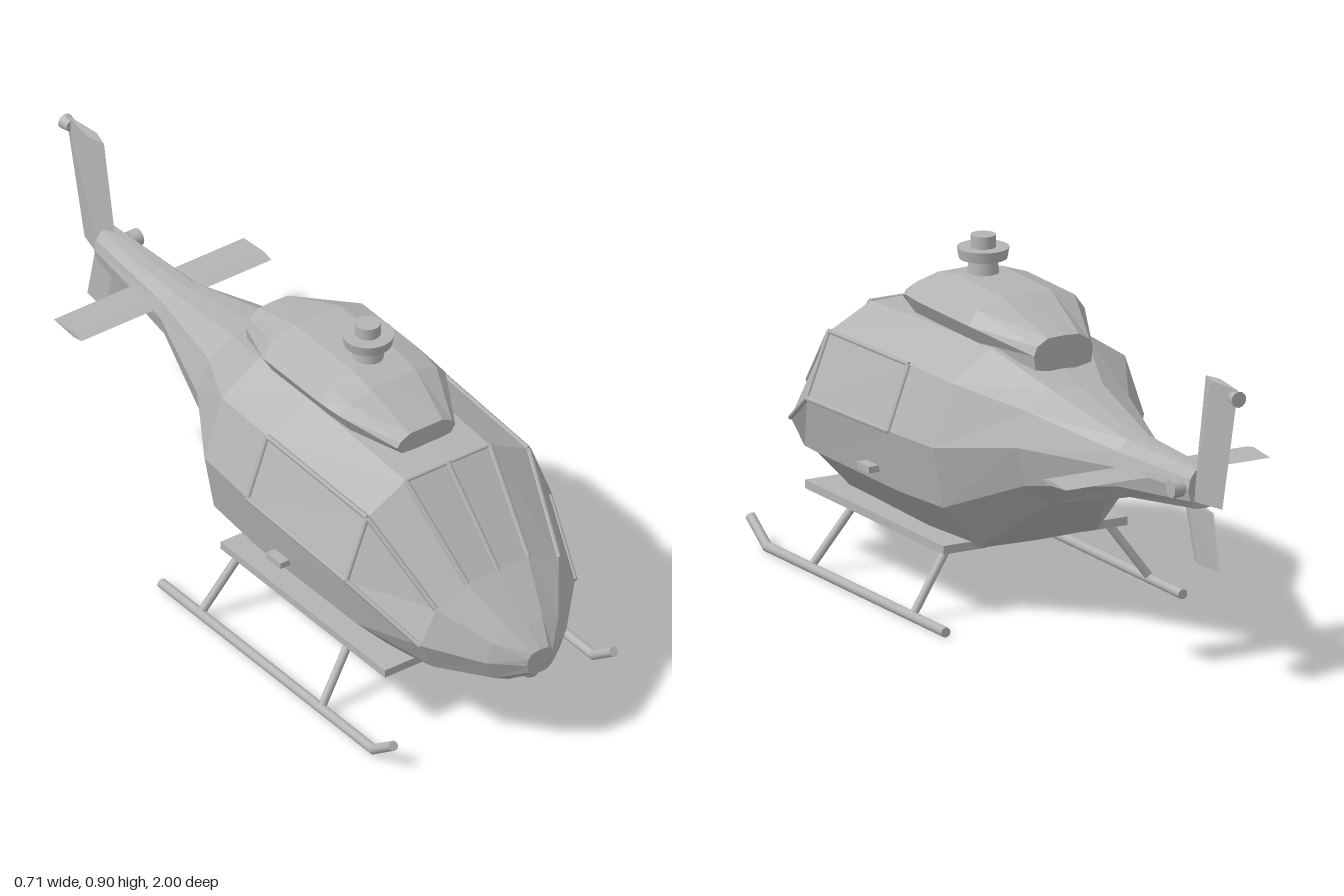
import * as THREE from 'three';

const grey = new THREE.MeshStandardMaterial({ color: 0xb4b4b4 });
grey.name = 'painted grey';

const V = (x, y, z) => new THREE.Vector3(x, y, z);

// Faceted skin over rings of points (each ring clockwise seen from the first end), capped at both ends
function loft(rings) {
  const pos = [];
  const tri = (...pts) => pts.forEach((p) => pos.push(p.x, p.y, p.z));
  const n = rings[0].length;
  const cap = (ring, flip) => {
    const c = ring.reduce((s, p) => s.add(p), V(0, 0, 0)).divideScalar(n);
    for (let k = 0; k < n; k++) {
      const a = ring[k], b = ring[(k + 1) % n];
      flip ? tri(c, b, a) : tri(c, a, b);
    }
  };
  for (let i = 0; i < rings.length - 1; i++) {
    for (let k = 0; k < n; k++) {
      const m = (k + 1) % n;
      const a = rings[i][k], b = rings[i][m], c = rings[i + 1][k], d = rings[i + 1][m];
      tri(a, b, c);
      tri(b, d, c);
    }
  }
  cap(rings[0], true);
  cap(rings[rings.length - 1], false);
  const geo = new THREE.BufferGeometry();
  geo.setAttribute('position', new THREE.Float32BufferAttribute(pos, 3));
  geo.computeVertexNormals();
  return geo;
}

// Full ring from a half outline running from top centre to bottom centre
function mirrorRing(z, half) {
  const right = half.map(([x, y]) => V(x, y, z));
  const left = half.slice(1, -1).reverse().map(([x, y]) => V(-x, y, z));
  return [...right, ...left];
}

export function createModel() {
  const model = new THREE.Group();
  const add = (name, geo, x = 0, y = 0, z = 0) => {
    const mesh = new THREE.Mesh(geo, grey);
    mesh.name = name;
    mesh.position.set(x, y, z);
    model.add(mesh);
    return mesh;
  };
  // Round bar between two points
  const rod = (name, a, b, r, sides = 8) => {
    const dir = b.clone().sub(a);
    const mesh = add(name, new THREE.CylinderGeometry(r, r, dir.length(), sides));
    mesh.position.copy(a).add(b).multiplyScalar(0.5);
    mesh.quaternion.setFromUnitVectors(V(0, 1, 0), dir.normalize());
    return mesh;
  };

  // Fuselage: top, roof edge, shoulder, waist, chine, belly edge, belly
  const body = [
    [1.0, [[0, 0.312], [0.025, 0.308], [0.038, 0.295], [0.042, 0.278], [0.035, 0.255], [0.02, 0.245], [0, 0.243]]],
    [0.94, [[0, 0.36], [0.05, 0.358], [0.1, 0.335], [0.125, 0.287], [0.1, 0.232], [0.055, 0.21], [0, 0.207]]],
    [0.82, [[0, 0.452], [0.095, 0.45], [0.19, 0.41], [0.24, 0.32], [0.2, 0.24], [0.11, 0.193], [0, 0.187]]],
    [0.61, [[0, 0.662], [0.13, 0.66], [0.25, 0.598], [0.315, 0.432], [0.283, 0.287], [0.17, 0.167], [0, 0.165]]],
    [0.2, [[0, 0.69], [0.135, 0.685], [0.257, 0.615], [0.318, 0.45], [0.288, 0.29], [0.18, 0.163], [0, 0.163]]],
    [0, [[0, 0.695], [0.135, 0.69], [0.25, 0.615], [0.305, 0.455], [0.275, 0.295], [0.17, 0.175], [0, 0.172]]],
    [-0.2, [[0, 0.622], [0.07, 0.617], [0.145, 0.575], [0.18, 0.487], [0.155, 0.385], [0.085, 0.325], [0, 0.318]]],
    [-0.5, [[0, 0.566], [0.033, 0.563], [0.06, 0.535], [0.072, 0.497], [0.06, 0.445], [0.035, 0.415], [0, 0.411]]],
    [-0.82, [[0, 0.563], [0.02, 0.561], [0.036, 0.54], [0.042, 0.513], [0.036, 0.482], [0.02, 0.461], [0, 0.458]]],
  ];
  add('fuselage', loft(body.map(([z, half]) => mirrorRing(z, half))));

  // Engine housing on the roof
  const housing = [
    [0.52, [[0, 0.72], [0.05, 0.72], [0.08, 0.705], [0.09, 0.69], [0.075, 0.67], [0, 0.665]]],
    [0.38, [[0, 0.785], [0.07, 0.784], [0.135, 0.765], [0.163, 0.738], [0.135, 0.688], [0, 0.67]]],
    [0.3, [[0, 0.8], [0.07, 0.799], [0.14, 0.775], [0.168, 0.737], [0.14, 0.69], [0, 0.67]]],
    [0.06, [[0, 0.8], [0.07, 0.799], [0.14, 0.775], [0.168, 0.737], [0.14, 0.69], [0, 0.67]]],
    [-0.125, [[0, 0.735], [0.045, 0.733], [0.075, 0.715], [0.085, 0.692], [0.08, 0.655], [0, 0.64]]],
  ];
  add('engineHousing', loft(housing.map(([z, half]) => mirrorRing(z, half))));

  // Rotor mast
  add('mast', new THREE.CylinderGeometry(0.036, 0.042, 0.06, 20), 0, 0.812, 0.275);
  add('mastCollar', new THREE.CylinderGeometry(0.066, 0.061, 0.028, 24), 0, 0.852, 0.275);
  add('mastCap', new THREE.CylinderGeometry(0.032, 0.032, 0.036, 20), 0, 0.88, 0.275);

  // Window bars and side window frames follow the body sections
  const at = (section, k, side) => V(side * body[section][1][k][0], body[section][1][k][1], body[section][0]);
  rod('windscreenBar', at(2, 0, 1), at(3, 0, 1), 0.007, 6);
  for (const s of [-1, 1]) {
    for (const k of [1, 2, 3]) rod('windscreenBar', at(2, k, s), at(3, k, s), 0.007, 6);
    const frame = [at(3, 2, s), at(4, 2, s), at(4, 3, s), at(3, 3, s)];
    frame.forEach((p, i) => rod('sideWindowFrame', p, frame[(i + 1) % 4], 0.007, 6));
  }
  rod('windscreenTopFrame', at(3, 1, -1), at(3, 1, 1), 0.005, 6);

  // Nose lamp
  const lamp = add('noseLamp', new THREE.SphereGeometry(0.026, 12, 8), 0, 0.23, 0.955);
  lamp.scale.set(1, 1, 0.9);

  // Tail fins: lens-shaped sections stacked from top to bottom
  const finRing = ([y, front, back, t]) => {
    const mid = front + (back - front) * 0.3;
    return [V(0, y, front), V(-t, y, mid), V(0, y, back), V(t, y, mid)];
  };
  add('upperFin', loft([[0.81, -0.835, -0.995, 0.014], [0.48, -0.775, -0.917, 0.024]].map(finRing)));
  add('lowerFin', loft([[0.46, -0.73, -0.873, 0.018], [0.315, -0.778, -0.905, 0.012]].map(finRing)));
  const tailLamp = add('tailLamp', new THREE.CylinderGeometry(0.021, 0.016, 0.028, 12), 0, 0.787, -0.986);
  tailLamp.rotation.x = -Math.PI / 2;

  // Tail rotor hub
  rod('tailRotorShaft', V(0.02, 0.515, -0.797), V(0.06, 0.515, -0.797), 0.014, 12);
  rod('tailRotorHub', V(0.05, 0.515, -0.797), V(0.08, 0.515, -0.797), 0.023, 16);

  // Horizontal stabilizer
  add('stabilizer', loft([0.295, -0.295].map((x) => [
    V(x, 0.505, -0.53), V(x, 0.512, -0.565), V(x, 0.505, -0.647), V(x, 0.498, -0.565),
  ])));

  // Landing gear, steps and door handles
  for (const s of [-1, 1]) {
    const x = s * 0.342;
    rod('skid', V(x, 0.013, -0.13), V(x, 0.013, 0.765), 0.013, 12);
    rod('skidTip', V(x, 0.013, 0.76), V(x, 0.072, 0.845), 0.013, 12);
    for (const [low, high] of [[0.542, 0.515], [0.035, 0.058]]) {
      rod('skidStrut', V(x, 0.016, low), V(s * 0.225, 0.178, high), 0.011, 10);
    }
    add('step', new THREE.BoxGeometry(0.125, 0.022, 0.69), s * 0.203, 0.179, 0.36);
    add('doorHandle', new THREE.BoxGeometry(0.032, 0.017, 0.06), s * 0.308, 0.328, 0.315);
  }
  return model;
}
